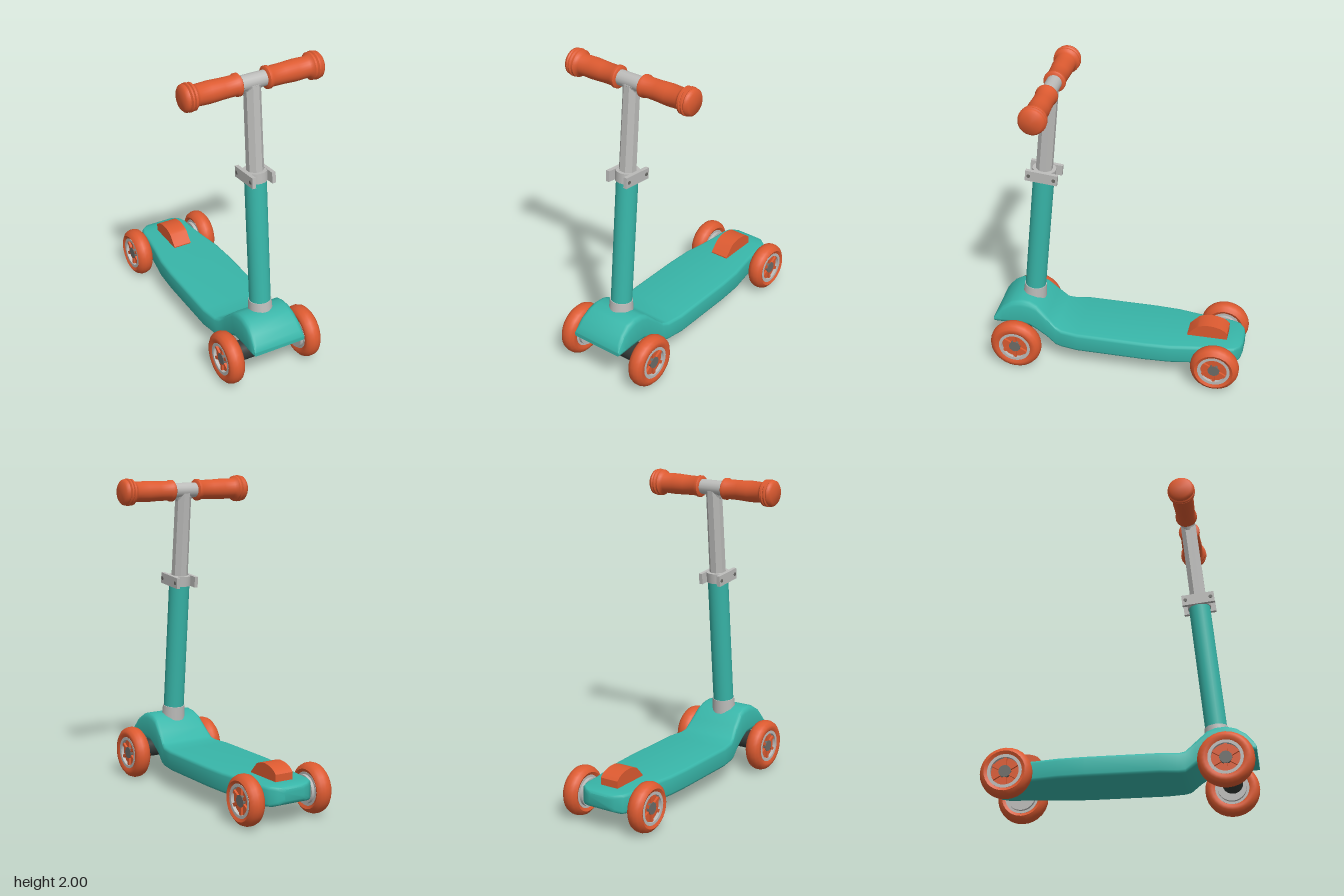
import * as THREE from 'three';
import { toCreasedNormals } from 'three/addons/utils/BufferGeometryUtils.js';

const mat = (name, color) => {
  const m = new THREE.MeshStandardMaterial({ color });
  m.name = name;
  return m;
};

export function createModel() {
  const teal = mat('teal', 0x38b6a9);
  const orange = mat('orange', 0xdc5a30);
  const grey = mat('light grey', 0xbcbcba);
  const hubGrey = mat('hub grey', 0x6c6c68);
  const dark = mat('dark', 0x343a38);

  const root = new THREE.Group();
  root.name = 'scooter';

  const add = (parent, name, geo, material, x = 0, y = 0, z = 0) => {
    const m = new THREE.Mesh(geo, material);
    m.name = name;
    m.position.set(x, y, z);
    parent.add(m);
    return m;
  };
  // Lathe or cylinder turned so its axis runs along x
  const latheX = (pts, n = 28) =>
    toCreasedNormals(new THREE.LatheGeometry(pts.map(p => new THREE.Vector2(...p)), n).rotateZ(-Math.PI / 2), 0.7);
  const cylX = (r, len, n = 24) => new THREE.CylinderGeometry(r, r, len, n).rotateZ(-Math.PI / 2);

  // Deck with raised nose: rounded sections [z, half width, bottom, top, corner radius, top inset]
  const stations = [
    [-0.815, 0.07, 0.165, 0.235, 0.02, 0], [-0.803, 0.11, 0.145, 0.248, 0.02, 0],
    [-0.77, 0.15, 0.13, 0.254, 0.02, 0], [-0.72, 0.168, 0.125, 0.255, 0.02, 0],
    [-0.62, 0.174, 0.125, 0.255, 0.02, 0], [-0.5, 0.191, 0.125, 0.255, 0.02, 0],
    [-0.36, 0.215, 0.125, 0.255, 0.02, 0], [-0.2, 0.223, 0.125, 0.255, 0.02, 0],
    [0.25, 0.223, 0.125, 0.255, 0.02, 0], [0.36, 0.205, 0.125, 0.255, 0.02, 0],
    [0.4, 0.197, 0.13, 0.268, 0.022, 0.004], [0.46, 0.19, 0.175, 0.33, 0.028, 0.008],
    [0.53, 0.187, 0.22, 0.398, 0.032, 0.014], [0.58, 0.186, 0.245, 0.42, 0.035, 0.016],
    [0.64, 0.186, 0.25, 0.425, 0.035, 0.016], [0.7, 0.186, 0.25, 0.41, 0.035, 0.015],
    [0.76, 0.186, 0.25, 0.37, 0.03, 0.012], [0.8, 0.184, 0.25, 0.32, 0.025, 0.008],
    [0.82, 0.178, 0.255, 0.285, 0.012, 0],
  ];
  const pos = [], idx = [], N = 16;
  for (const [z, hw, yb, yt, r, inset] of stations) {
    for (let c = 0; c < 4; c++) {
      const sx = c === 0 || c === 3 ? 1 : -1, top = c === 1 || c === 0;
      const w = top ? hw - inset : hw;
      for (let k = 0; k < 4; k++) {
        const a = (c + k / 3) * Math.PI / 2;
        pos.push(sx * (w - r) + r * Math.cos(a), (top ? yt - r : yb + r) + r * Math.sin(a), z);
      }
    }
  }
  const last = (stations.length - 1) * N;
  for (let s = 0; s < last; s += N) {
    for (let j = 0; j < N; j++) {
      const a = s + j, b = s + (j + 1) % N;
      idx.push(a, b, b + N, a, b + N, a + N);
    }
  }
  for (let j = 1; j < N - 1; j++) idx.push(0, j + 1, j, last, last + j, last + j + 1);
  const deckGeo = new THREE.BufferGeometry();
  deckGeo.setAttribute('position', new THREE.Float32BufferAttribute(pos, 3));
  deckGeo.setIndex(idx);
  add(root, 'deck', toCreasedNormals(deckGeo, 0.65), teal);

  // Rear brake pad
  const pad = new THREE.Shape();
  pad.moveTo(0.45, 0.24);
  pad.lineTo(0.45, 0.262);
  pad.lineTo(0.51, 0.325);
  pad.quadraticCurveTo(0.56, 0.352, 0.62, 0.343);
  pad.quadraticCurveTo(0.68, 0.335, 0.71, 0.3);
  pad.lineTo(0.71, 0.24);
  pad.closePath();
  const padGeo = new THREE.ExtrudeGeometry(pad, { depth: 0.124, bevelEnabled: false, curveSegments: 6 })
    .translate(0, 0, -0.062).rotateY(Math.PI / 2);
  add(root, 'brakePad', toCreasedNormals(padGeo, 0.5), orange);

  // Axles
  add(root, 'frontAxleHousing', cylX(0.064, 0.43), dark, 0, 0.188, 0.65);
  add(root, 'rearAxle', cylX(0.03, 0.42), grey, 0, 0.165, -0.66);

  // Wheel, outer face towards +x
  const makeWheel = (name, r) => {
    const g = new THREE.Group();
    g.name = name;
    const i = 0.104, h = 0.054;
    add(g, 'tyre', latheX([
      [i, -0.044], [i + 0.02, -h], [r - 0.026, -0.05], [r - 0.008, -0.034], [r, -0.012],
      [r, 0.012], [r - 0.008, 0.034], [r - 0.026, 0.05], [i + 0.02, h], [i, 0.044], [i, -0.044],
    ]), orange);
    add(g, 'rim', latheX([
      [0.086, -0.046], [i + 0.001, -0.046], [i + 0.001, 0.046], [0.086, 0.046], [0.086, -0.046],
    ]), grey);
    add(g, 'wheelDisc', cylX(0.087, 0.05), orange);
    for (let k = 0; k < 6; k++) {
      const a = k * Math.PI / 3;
      const s = add(g, 'spoke', new THREE.BoxGeometry(0.078, 0.056, 0.02), orange, 0, Math.cos(a) * 0.06, Math.sin(a) * 0.06);
      s.rotation.x = a;
    }
    add(g, 'hub', cylX(0.038, 0.084, 12), hubGrey);
    add(g, 'innerHub', cylX(0.09, 0.02), grey, -0.056);
    return g;
  };
  for (const side of [1, -1]) {
    const label = side > 0 ? 'left' : 'right';
    for (const [end, r, x, y, z] of [['Front', 0.168, 0.274, 0.17, 0.645], ['Rear', 0.157, 0.242, 0.163, -0.66]]) {
      const w = makeWheel(label + end + 'Wheel', r);
      w.position.set(side * x, y, z);
      if (side < 0) w.rotation.y = Math.PI;
      root.add(w);
    }
  }

  // Leaning steering column
  const column = new THREE.Group();
  column.name = 'steeringColumn';
  column.position.set(0, 0.47, 0.575);
  column.rotation.x = -Math.atan(0.0976);
  root.add(column);
  add(column, 'baseCollar', new THREE.CylinderGeometry(0.072, 0.078, 0.09, 20), grey, 0, -0.04);
  add(column, 'lowerTube', new THREE.CylinderGeometry(0.067, 0.067, 0.84, 24), teal, 0, 0.42);
  add(column, 'upperTube', toCreasedNormals(
    new THREE.CylinderGeometry(0.052, 0.054, 0.62, 8).rotateY(Math.PI / 8), 0.3), grey, 0, 1.13);

  // Height clamp with side plates and bolts
  add(column, 'clampRing', new THREE.CylinderGeometry(0.074, 0.074, 0.066, 20), grey, 0, 0.861);
  for (const side of [1, -1]) {
    add(column, 'clampPlate', new THREE.BoxGeometry(0.024, 0.07, 0.205), grey, side * 0.067, 0.861);
    for (const z of [0.08, -0.08]) add(column, 'clampBolt', cylX(0.012, 0.012, 8), hubGrey, side * 0.077, 0.861, z);
  }

  // Handlebar joint and grips
  const bar = new THREE.Group();
  bar.name = 'handlebar';
  bar.position.set(0, 1.914, 0.432);
  root.add(bar);
  add(bar, 'jointBar', cylX(0.048, 0.2, 16), grey);
  const neck = add(bar, 'jointNeck', new THREE.CylinderGeometry(0.078, 0.05, 0.06, 16), grey, 0, -0.04, 0.004);
  neck.scale.z = 0.62;
  const gripGeo = latheX([
    [0, 0.083], [0.06, 0.083], [0.069, 0.09], [0.069, 0.108], [0.062, 0.12], [0.063, 0.2], [0.067, 0.28],
    [0.064, 0.36], [0.072, 0.375], [0.083, 0.384], [0.083, 0.396], [0.076, 0.4], [0.086, 0.408],
    [0.086, 0.418], [0.077, 0.423], [0.083, 0.43], [0.08, 0.442], [0.066, 0.454], [0, 0.457],
  ]);
  for (const side of [1, -1]) {
    const g = add(bar, side > 0 ? 'leftGrip' : 'rightGrip', gripGeo, orange);
    if (side < 0) g.rotation.y = Math.PI;
  }

  return root;
}
